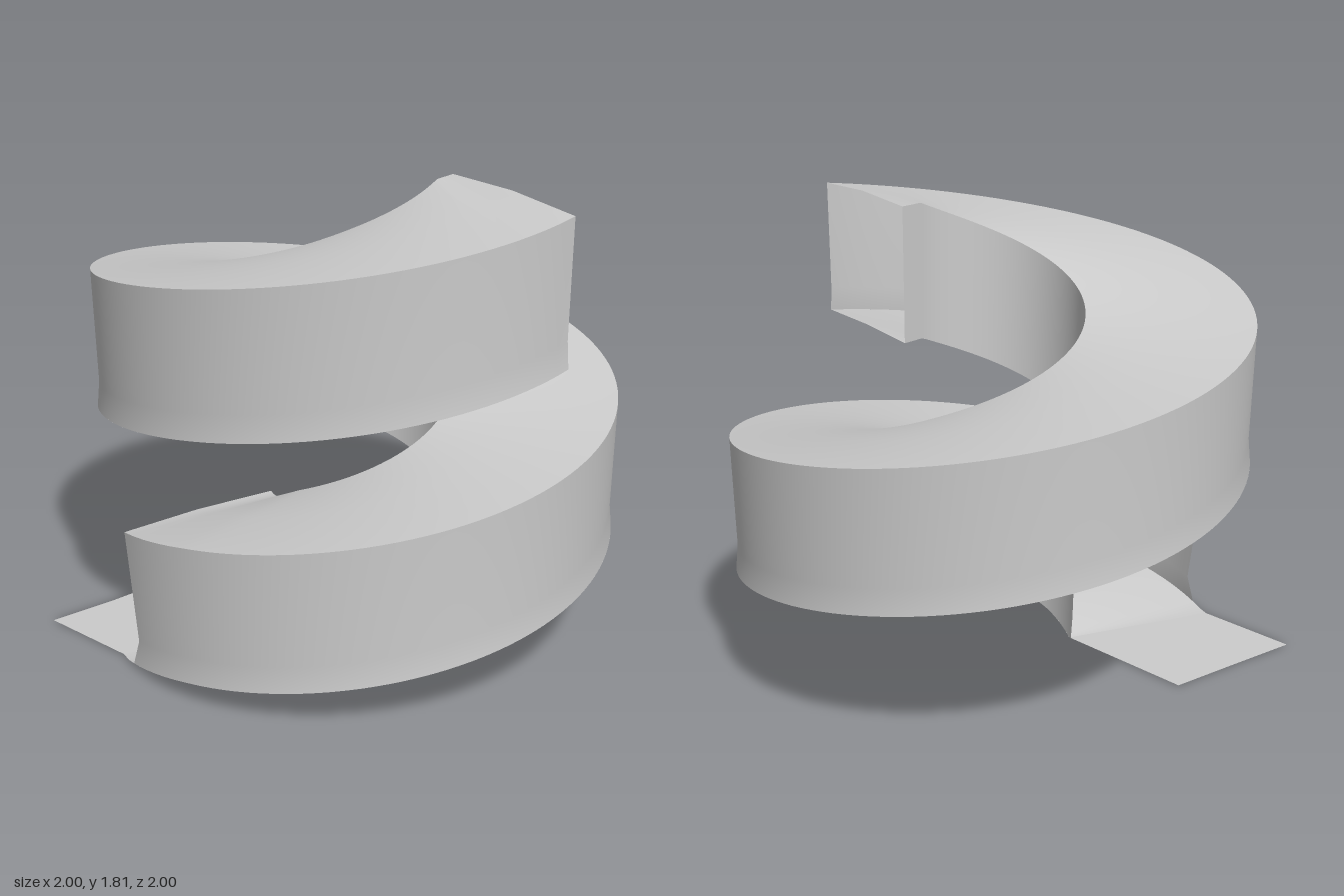
import * as THREE from 'three';

const DEG = Math.PI / 180;
const INNER = 0.36, OUTER = 1, MID = 0.68, HEIGHT = 0.54, STEPS = 160;
const END = 450; // the helix climbs from the front, one and a quarter turns

// Point on the helix: radius r, angle in degrees (0 = front, 90 = +x), height h above the floor
function helixPoint(r, deg, h) {
  if (deg > END) { // straight run-out at the top
    return [r, floorHeight(END) + h, -(deg - END) * DEG * r];
  }
  const a = deg * DEG;
  return [r * Math.sin(a), floorHeight(deg) + h, r * Math.cos(a)];
}

function floorHeight(deg) {
  return deg < 0 ? Math.max(0.006, 0.08 * (1 + deg / 25)) : 0.08 + 0.95 * deg / 360;
}

// The mouth at the top is cut aslant
const endAngle = (r) => END - (r - MID) * 0.31 / r / DEG;

// Surface through a grid of rows of points
function sheet(name, rows, material) {
  const n = rows[0].length, index = [];
  for (let i = 0; i < rows.length - 1; i++) {
    for (let j = 0; j < n - 1; j++) {
      const a = i * n + j, b = a + n;
      index.push(a, a + 1, b, b, a + 1, b + 1);
    }
  }
  const g = new THREE.BufferGeometry();
  g.setAttribute('position', new THREE.Float32BufferAttribute(rows.flat(2), 3));
  g.setIndex(index);
  g.computeVertexNormals();
  const mesh = new THREE.Mesh(g, material);
  mesh.name = name;
  return mesh;
}

// Sweeps a strip of the section; each profile point is [radius, height, start angle]
function sweep(name, profile, material) {
  const rows = [];
  for (let i = 0; i <= STEPS; i++) {
    rows.push(profile.map(([r, h, start]) =>
      helixPoint(r, start + (endAngle(r) - start) * i / STEPS, h)));
  }
  return sheet(name, rows, material);
}

export function createModel() {
  const group = new THREE.Group();
  group.name = 'spiralSlide';
  const material = new THREE.MeshStandardMaterial({ color: 0xcccccc, side: THREE.DoubleSide });

  // Four thin sides of the hollow rectangular channel
  group.add(sweep('floor', [[OUTER, 0, -25.5], [MID, 0, -25], [INNER, 0, -24]], material));
  group.add(sweep('innerWall', [[INNER, 0, -26], [INNER, 0.1, -28], [INNER, HEIGHT, -32]], material));
  group.add(sweep('roof', [[INNER, HEIGHT, -32], [MID, HEIGHT + 0.006, -25], [OUTER, HEIGHT, -21]], material));
  group.add(sweep('outerWall', [[OUTER, HEIGHT, -21], [0.99, 0.1, -17.6], [OUTER, 0, -19.5]], material));

  // Flat tongue leading out at the bottom
  const lip = [helixPoint(OUTER, -25.5, 0), helixPoint(MID, -25, 0), helixPoint(INNER, -24, 0)];
  const tip = [[-0.85, 0.003, 0.88], [-0.79, 0, 0.61], [-0.73, 0.003, 0.29]];
  group.add(sheet('exitTongue', [tip, lip], material));

  return group;
}
